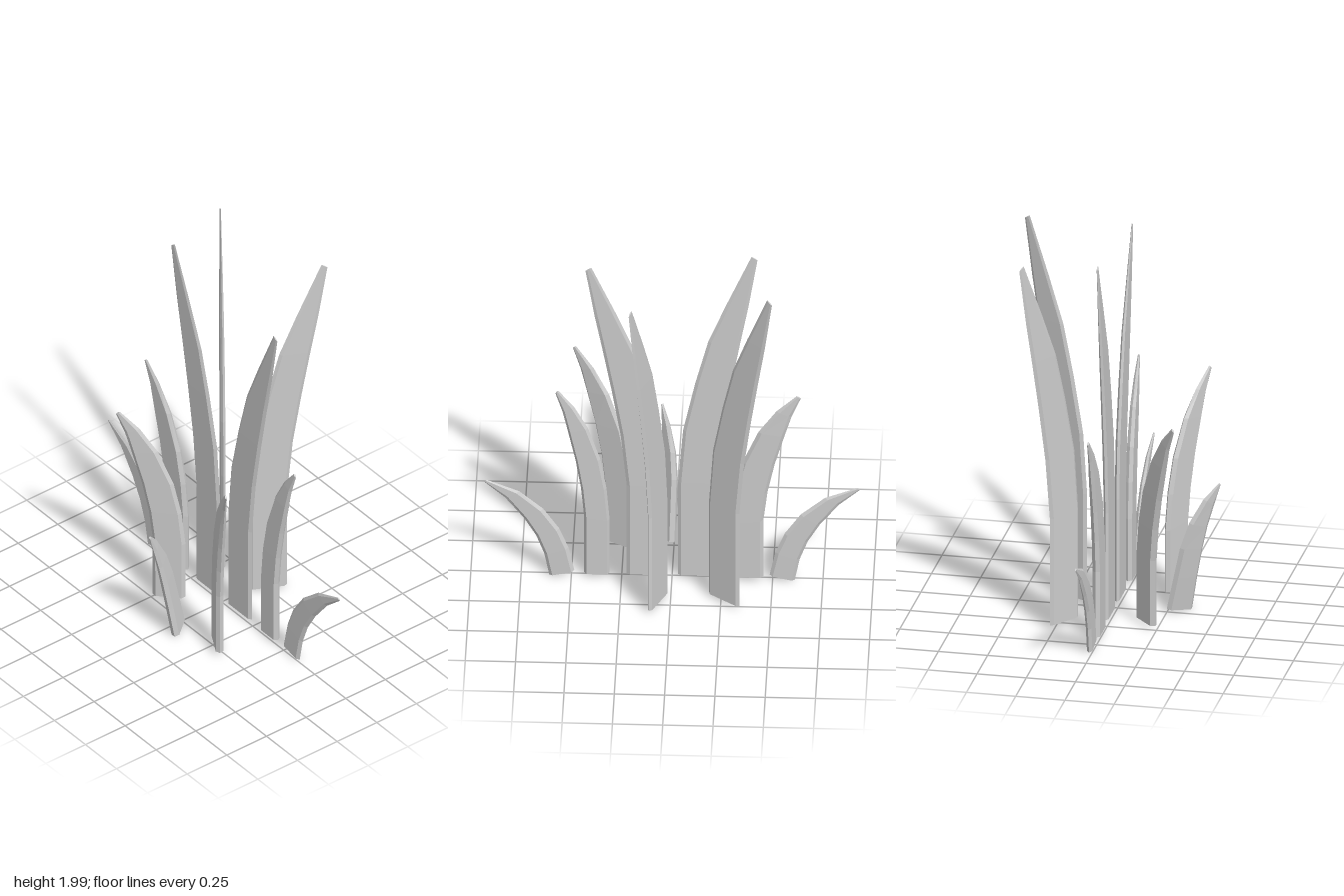
import * as THREE from 'three';

// Blade outlines: rows of [innerU, innerV, outerU, outerV] from base to tip
const TALL = [
  [0, .03, .19, .03], [0, .6, .19, .6], [.025, .92, .22, .92], [.085, 1.21, .265, 1.21],
  [.15, 1.47, .31, 1.47], [.24, 1.7, .35, 1.69], [.365, 2, .395, 1.98],
];
const MEDIUM = [
  [0, .03, .165, .03], [0, .36, .165, .38], [.02, .55, .185, .55], [.06, .73, .22, .72],
  [.14, .92, .27, .9], [.23, 1.05, .305, 1.02], [.33, 1.145, .35, 1.13],
];
const SMALL = [
  [0, .04, .125, .01], [.03, .18, .15, .14], [.075, .295, .19, .25],
  [.155, .415, .25, .355], [.275, .52, .345, .48], [.435, .585, .45, .575],
];
const SPROUT = [
  [-.07, 0, .07, 0], [-.065, .18, .065, .18], [-.06, .34, .065, .34],
  [-.035, .48, .07, .46], [.02, .61, .085, .58], [.09, .7, .1, .69],
];

// Lofts a flat hexagonal section along an outline, thinning to the tip
function bladeGeometry(rows, thickness) {
  const pos = [], idx = [], n = 6;
  rows.forEach(([iu, iv, ou, ov], r) => {
    const f = r / (rows.length - 1);
    const t = thickness / 2 * (1 - .75 * f ** 3);
    const c = Math.min(.016 / Math.hypot(ou - iu, ov - iv), .3);
    const at = (k, z) => pos.push(iu + (ou - iu) * k, iv + (ov - iv) * k, z);
    at(1, 0); at(1 - c, -t); at(c, -t); at(0, 0); at(c, t); at(1 - c, t);
    if (r === 0) return;
    for (let i = 0; i < n; i++) {
      const a = (r - 1) * n + i, b = (r - 1) * n + (i + 1) % n;
      idx.push(a, b, b + n, a, b + n, a + n);
    }
  });
  // Base and tip caps
  const top = (rows.length - 1) * n;
  for (let i = 1; i < n - 1; i++) idx.push(0, i + 1, i, top, top + i, top + i + 1);
  const g = new THREE.BufferGeometry();
  g.setAttribute('position', new THREE.Float32BufferAttribute(pos, 3));
  g.setIndex(idx);
  g.computeVertexNormals();
  return g;
}

export function createModel() {
  const plant = new THREE.Group();
  plant.name = 'grassTuft';
  const material = new THREE.MeshStandardMaterial({ color: 0xcccccc, flatShading: true });
  const tall = bladeGeometry(TALL, .024);
  const medium = bladeGeometry(MEDIUM, .038);
  const small = bladeGeometry(SMALL, .028);

  // name, geometry, inner base x/z, tip x/z, outward scale, height scale
  const blades = [
    ['tallBladeRight', tall, -.03, -.015, -.43, -.015, 1, 1],
    ['tallBladeLeft', tall, .035, -.015, .43, -.015, 1, .955],
    ['tallBladeBackRight', tall, -.19, -.16, -.51, -.39, 1, 1],
    ['tallBladeBackLeft', tall, .02, -.16, .195, -.51, 1, 1],
    ['mediumBladeRight', medium, -.29, -.015, -.64, -.015, 1, 1],
    ['mediumBladeLeft', medium, .31, -.015, .58, -.015, .77, 1],
    ['mediumBladeFrontRight', medium, -.125, .13, -.385, .37, 1, 1],
    ['mediumBladeFrontLeft', medium, .2, .2, .51, .37, 1, 1],
    ['smallBladeRight', small, -.485, -.015, -.935, -.015, 1, 1],
    ['smallBladeLeft', small, .485, -.015, .935, -.015, 1, 1],
  ];
  for (const [name, geometry, x, z, tx, tz, su, sv] of blades) {
    const blade = new THREE.Mesh(geometry, material);
    blade.name = name;
    blade.position.set(x, 0, z);
    blade.rotation.y = -Math.atan2(tz - z, tx - x);
    blade.scale.set(su, sv, 1);
    plant.add(blade);
  }

  // Small front blade, leaning in a tilted plane
  const sprout = new THREE.Mesh(bladeGeometry(SPROUT, .04), material);
  sprout.name = 'smallBladeFront';
  const u = new THREE.Vector3(.6, -.12, .8).normalize();
  const n = u.clone().cross(new THREE.Vector3(-.035, .98, .187)).normalize();
  const v = n.clone().cross(u);
  sprout.quaternion.setFromRotationMatrix(new THREE.Matrix4().makeBasis(u, v, n));
  sprout.position.set(.04, .02, .305);
  plant.add(sprout);
  return plant;
}
